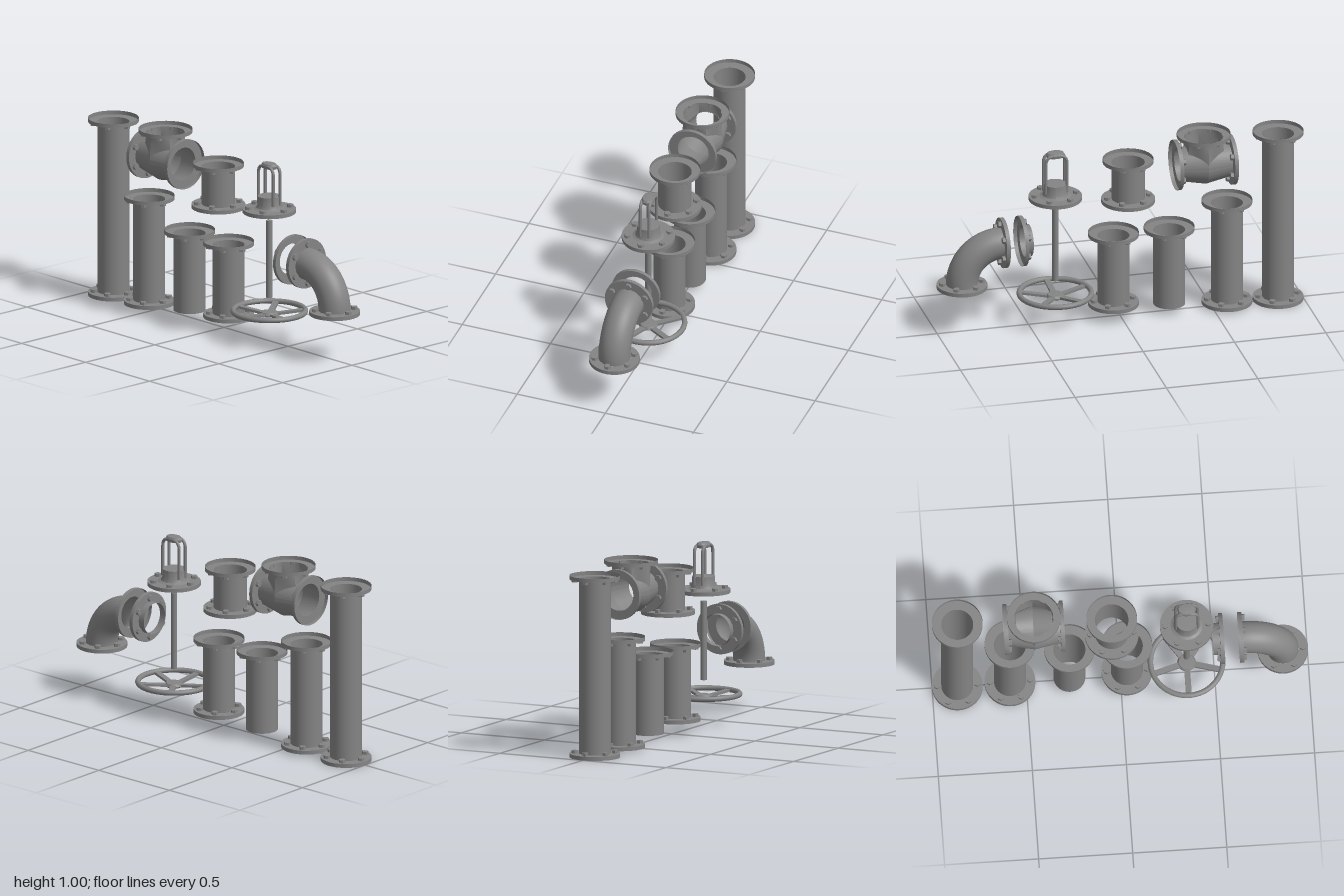
import * as THREE from 'three';
import { toCreasedNormals } from 'three/addons/utils/BufferGeometryUtils.js';

const mat = new THREE.MeshStandardMaterial({ color: 0x848484, side: THREE.DoubleSide });
const PLATE = 0.021; // flange depth
const PIPE_R = 0.085;
const FLANGE_R = 0.135;

function add(parent, name, geometry, x = 0, y = 0, z = 0) {
  const m = new THREE.Mesh(geometry, mat);
  m.name = name;
  m.position.set(x, y, z);
  parent.add(m);
  return m;
}

function group(parent, name, x = 0, y = 0, z = 0) {
  const g = new THREE.Group();
  g.name = name;
  g.position.set(x, y, z);
  parent.add(g);
  return g;
}

function lathe(points, segments = 48) {
  const g = new THREE.LatheGeometry(points.map(p => new THREE.Vector2(p[0], p[1])), segments);
  return toCreasedNormals(g, 0.6);
}

// Recessed flange: open face at y = 0 facing +y, bolt heads on the back
function flange(parent, name, x, y, R = FLANGE_R, r = PIPE_R, tilt = 0) {
  const f = group(parent, name, x, y);
  f.rotation.z = tilt;
  add(f, 'flangePlate', lathe([[R, 0], [R, -PLATE], [r, -PLATE]]));
  for (let i = 0; i < 6; i++) {
    const a = i * Math.PI / 3, d = R - 0.028;
    const head = new THREE.CylinderGeometry(0.0175, 0.0175, 0.016, 6);
    add(f, 'boltHead', toCreasedNormals(head, 0.6), d * Math.cos(a), -PLATE - 0.008, d * Math.sin(a));
  }
  return f;
}

// Straight pipe with a flange on top and optionally on the bottom
function pipe(parent, name, x, y0, y1, bottom = true, bottomR = FLANGE_R, r = PIPE_R) {
  const g = group(parent, name, x);
  const low = bottom ? y0 + PLATE : y0, high = y1 - PLATE;
  add(g, 'tube', new THREE.CylinderGeometry(r, r, high - low, 48, 1, true), 0, (low + high) / 2);
  flange(g, 'topFlange', 0, y1, FLANGE_R, r);
  if (bottom) flange(g, 'bottomFlange', 0, y0, bottomR, r, Math.PI);
}

// Valve body: ridged horizontal barrel, opened where the neck meets it
function valveBody(parent) {
  const g = group(parent, 'valveBody', -0.459, 0.835);
  const half = 0.139, neckR = 0.104, sixth = Math.PI / 3;
  const radius = x => 0.088 + 0.027 * (1 - Math.abs(x) / half);
  // Hexagonal plan with corners towards the front and back
  const hexR = (x, z) => {
    const a = Math.abs(Math.atan2(x, z)) % sixth;
    return 0.113 * Math.cos(sixth / 2) / Math.cos(a - sixth / 2);
  };

  const barrel = new THREE.CylinderGeometry(1, 1, 2 * half, 96, 56, true);
  barrel.rotateZ(Math.PI / 2);
  const p = barrel.attributes.position;
  for (let i = 0; i < p.count; i++) {
    const s = radius(p.getX(i));
    p.setXYZ(i, p.getX(i), p.getY(i) * s, p.getZ(i) * s);
  }
  const kept = [], src = barrel.index.array;
  for (let i = 0; i < src.length; i += 3) {
    const t = [src[i], src[i + 1], src[i + 2]];
    const inside = t.every(v => p.getY(v) > 0 &&
      Math.hypot(p.getX(v), p.getZ(v)) < hexR(p.getX(v), p.getZ(v)) - 0.001);
    if (!inside) kept.push(...t);
  }
  barrel.setIndex(kept);
  add(g, 'barrel', toCreasedNormals(barrel, 0.25));

  // Neck: round at the top, hexagonal where it follows the barrel
  const top = 0.168 - PLATE;
  const neck = new THREE.CylinderGeometry(1, 1, 1, 72, 8, true);
  const n = neck.attributes.position;
  for (let i = 0; i < n.count; i++) {
    const t = n.getY(i) + 0.5;
    const s = THREE.MathUtils.lerp(hexR(n.getX(i), n.getZ(i)), neckR, t);
    const x = n.getX(i) * s, z = n.getZ(i) * s;
    const low = Math.sqrt(Math.max(0, radius(x) ** 2 - z * z)) - 0.003;
    n.setXYZ(i, x, low + (top - low) * t, z);
  }
  add(g, 'neck', toCreasedNormals(neck, 0.4));
  flange(g, 'topFlange', 0, 0.168, 0.143, neckR);
  for (const s of [-1, 1]) flange(g, 'sideFlange', s * 0.16, 0, FLANGE_R, 0.088, -s * Math.PI / 2);
}

// Bonnet with a four-rod yoke and cap
function bonnet(parent, x) {
  const g = group(parent, 'bonnet', x);
  flange(g, 'bonnetFlange', 0, 0.71, 0.142, 0.085, Math.PI);
  add(g, 'bonnetHub', lathe([[0.085, 0.731], [0.07, 0.738], [0.062, 0.755], [0.06, 0.8], [0, 0.802]]));
  for (const sx of [-1, 1]) for (const sz of [-1, 1]) {
    const path = new THREE.CurvePath();
    const v = (a, b) => new THREE.Vector3(sx * a, b, sz * 0.0245);
    path.add(new THREE.LineCurve3(v(0.058, 0.755), v(0.058, 0.92)));
    path.add(new THREE.QuadraticBezierCurve3(v(0.058, 0.92), v(0.058, 0.963), v(0.02, 0.966)));
    add(g, 'yokeRod', new THREE.TubeGeometry(path, 24, 0.0085, 10));
  }
  add(g, 'yokeCap', lathe([[0, 0.953], [0.047, 0.953], [0.05, 0.968], [0.043, 0.979], [0, 0.983]], 32)).scale.z = 0.68;
}

// Five-spoke handwheel
function handwheel(parent, x) {
  const g = group(parent, 'handwheel', x, 0.166);
  const rim = new THREE.TorusGeometry(0.192, 0.0145, 12, 64);
  rim.rotateX(Math.PI / 2);
  add(g, 'rim', rim);
  add(g, 'hub', lathe([[0, -0.026], [0.042, -0.026], [0.05, -0.018], [0.042, -0.004], [0, -0.002]], 32));
  for (let i = 0; i < 5; i++) {
    const spoke = new THREE.BoxGeometry(0.031, 0.013, 0.16);
    spoke.rotateX(-0.1);
    spoke.translate(0, -0.009, 0.109);
    add(g, 'spoke', spoke).rotation.y = i * Math.PI * 0.4;
  }
}

// Quarter-turn elbow with a flange at each end
function elbow(parent) {
  const g = group(parent, 'elbow');
  const arc = new THREE.TorusGeometry(0.213, PIPE_R, 40, 32, Math.PI / 2);
  add(g, 'bend', arc, 0.651, 0.274);
  flange(g, 'bottomFlange', 0.864, 0.253, FLANGE_R, PIPE_R, Math.PI);
  flange(g, 'sideFlange', 0.63, 0.487, FLANGE_R, PIPE_R, Math.PI / 2);
}

// Short collar flange
function collar(parent) {
  const g = group(parent, 'collar');
  const f = flange(g, 'collarFlange', 0.549, 0.487, FLANGE_R, PIPE_R, -Math.PI / 2);
  add(f, 'collarNeck', new THREE.CylinderGeometry(PIPE_R, PIPE_R, 0.036, 48, 1, true), 0, -PLATE - 0.018);
}

export function createModel() {
  const model = new THREE.Group();
  model.name = 'pipeFittings';
  pipe(model, 'longPipe', -0.866, 0, 0.977);
  pipe(model, 'mediumPipe', -0.586, 0.012, 0.608);
  pipe(model, 'openEndPipe', -0.27, 0.041, 0.486, false);
  pipe(model, 'shortPipe', 0.035, 0.067, 0.486);
  pipe(model, 'spoolPipe', -0.045, 0.653, 0.901, true, 0.143, 0.089);
  valveBody(model);
  bonnet(model, 0.353);
  add(model, 'stem', new THREE.CylinderGeometry(0.017, 0.017, 0.424, 24), 0.353, 0.452);
  handwheel(model, 0.353);
  collar(model);
  elbow(model);
  return model;
}
